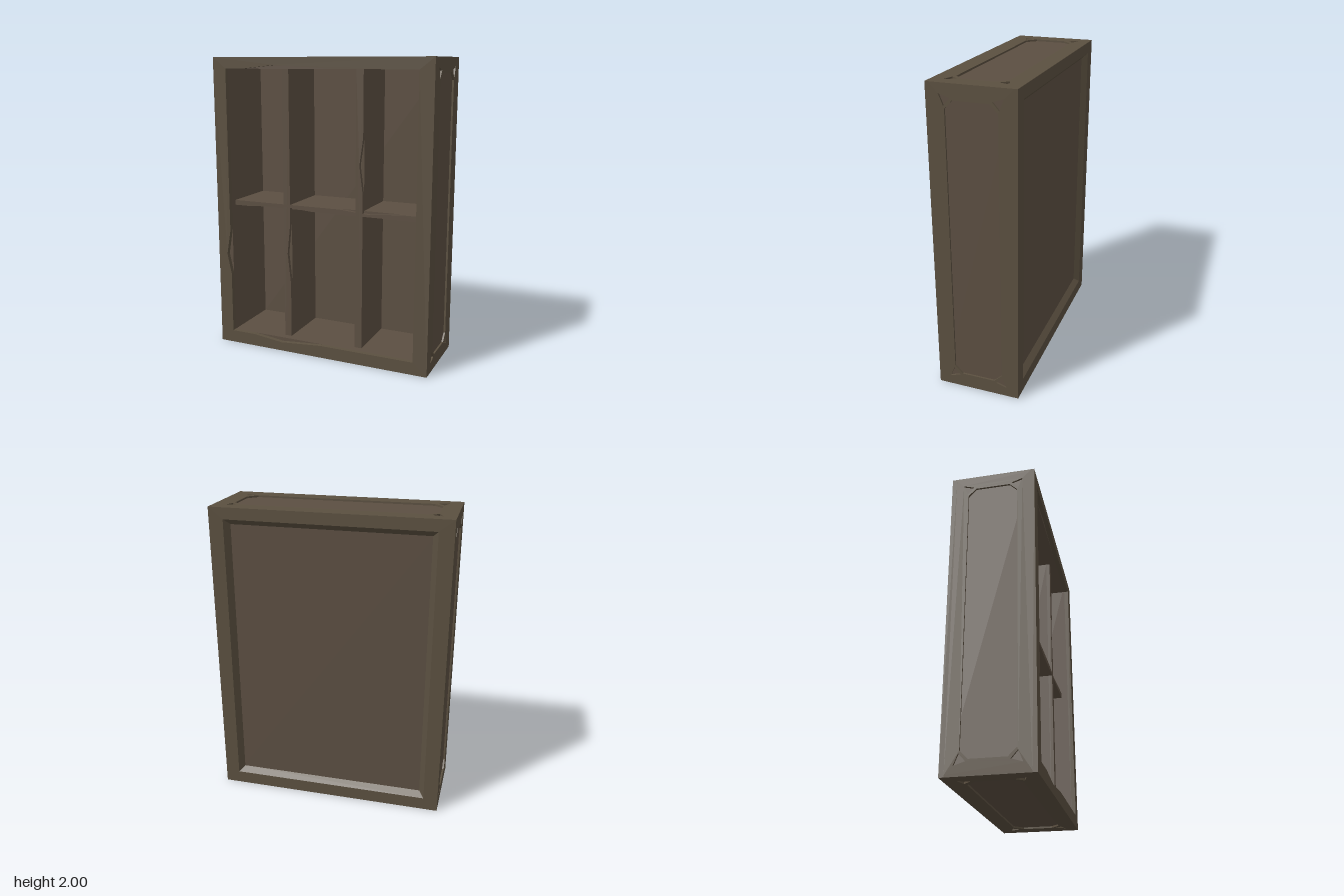
import * as THREE from 'three';

const W = 0.765, H = 2, D = 0.272;          // half width, height, half depth
const IX = 0.67, Y0 = 0.085, Y1 = 1.925;    // inner opening
const T = 0.012, LIP = 0.03;                // panel relief, front and back rim thickness
const FRONT = 0.195, BACK = -0.19;          // divider front, inner face of the back

export function createModel() {
  const root = new THREE.Group();
  root.name = 'bookcase';
  const frameWood = new THREE.MeshStandardMaterial({ color: 0x5b5040 });
  frameWood.name = 'frame wood';
  const panelWood = new THREE.MeshStandardMaterial({ color: 0x5c4f42 });
  panelWood.name = 'panel wood';

  const add = (name, geometry, material, parent = root) => {
    const mesh = new THREE.Mesh(geometry, material);
    mesh.name = name;
    parent.add(mesh);
    return mesh;
  };
  const box = (name, x0, x1, y0, y1, z0, z1, material = panelWood) => {
    const mesh = add(name, new THREE.BoxGeometry(x1 - x0, y1 - y0, z1 - z0), material);
    mesh.position.set((x0 + x1) / 2, (y0 + y1) / 2, (z0 + z1) / 2);
  };
  const points = (list) => list.map(([x, y]) => new THREE.Vector2(x, y));
  const extrude = (outline, holes, depth) => {
    const shape = new THREE.Shape(points(outline));
    holes.forEach((h) => shape.holes.push(new THREE.Path(points(h))));
    return new THREE.ExtrudeGeometry(shape, { depth, bevelEnabled: false });
  };
  const rect = (x0, x1, y0, y1) => [[x0, y0], [x1, y0], [x1, y1], [x0, y1]];

  // Carcass walls behind the relief plates
  const cz = D - LIP;
  for (const s of [-1, 1]) {
    const a = s * IX, b = s * (W - T);
    box('sideWall', Math.min(a, b), Math.max(a, b), T, H - T, -cz, cz);
  }
  box('bottomWall', -IX, IX, T, Y0, -cz, cz);
  box('topWall', -IX, IX, Y1, H - T, -cz, cz);
  box('backPanel', -IX, IX, Y0, Y1, -0.235, BACK);

  // Relief plate: a sunken panel with cut corners and a carved nick at each corner
  const reliefPlate = (name, hw, hh, pw, ph, c) => {
    const panel = [[-pw + c, -ph], [pw - c, -ph], [pw, -ph + c], [pw, ph - c],
      [pw - c, ph], [-pw + c, ph], [-pw, ph - c], [-pw, -ph + c]];
    const nicks = [];
    for (const sx of [-1, 1]) for (const sy of [-1, 1]) {
      nicks.push([[pw + 0.034, ph + 0.034], [pw - 0.035, ph + 0.012], [pw + 0.006, ph - 0.035]]
        .map(([x, y]) => [sx * x, sy * y]));
    }
    return add(name, extrude(rect(-hw, hw, -hh, hh), [panel, ...nicks], T), frameWood);
  };
  for (const s of [-1, 1]) {
    const side = reliefPlate(s > 0 ? 'leftSideFrame' : 'rightSideFrame', cz, H / 2 - T, 0.16, 0.905, 0.05);
    side.rotation.y = s * Math.PI / 2;
    side.position.set(s * (W - T), H / 2, 0);
    const cap = reliefPlate(s > 0 ? 'topFrame' : 'bottomFrame', W, cz, 0.65, 0.16, 0.06);
    cap.rotation.x = -s * Math.PI / 2;
    cap.position.y = s > 0 ? H - T : T;
  }

  // Front rim with chipped inner edges
  const opening = [[-IX, Y0], [-0.5, Y0], [-0.28, 0.06], [0.02, Y0], [IX, Y0], [IX, Y1],
    [0.13, Y1], [-0.3, 1.95], [-0.55, Y1], [-IX, Y1], [-IX, 0.82], [-0.7, 0.65], [-IX, 0.51]];
  add('frontRim', extrude(rect(-W, W, 0, H), [opening], LIP), frameWood).position.z = cz;

  // Back rim and the bevel running down to the sunken back panel
  add('backRim', extrude(rect(-W, W, 0, H), [rect(-IX, IX, Y0, Y1)], LIP), frameWood).position.z = -D;
  const outer = rect(-IX, IX, Y0, Y1);
  const inner = rect(-IX + 0.035, IX - 0.035, Y0 + 0.035, Y1 - 0.035);
  const verts = [];
  for (let i = 0; i < 4; i++) {
    const j = (i + 1) % 4;
    const a = [...outer[i], -D], b = [...outer[j], -D];
    const c = [...inner[j], -0.236], d = [...inner[i], -0.236];
    verts.push(...a, ...d, ...c, ...a, ...c, ...b);
  }
  const bevel = new THREE.BufferGeometry();
  bevel.setAttribute('position', new THREE.Float32BufferAttribute(verts, 3));
  bevel.computeVertexNormals();
  add('backBevel', bevel, frameWood);

  // Dividers and shelf: solid body with a chipped strip on the front edge
  const chip = 0.025;
  const body = (name, x0, x1, y0, y1, outline) => {
    box(name, x0, x1, y0, y1, BACK, FRONT - chip);
    add(name + 'Edge', extrude(outline, [], chip), panelWood).position.z = FRONT - chip;
  };
  body('rightDivider', -0.29, -0.24, Y0, Y1, [[-0.29, Y0], [-0.24, Y0], [-0.24, 0.47],
    [-0.263, 0.68], [-0.24, 0.9], [-0.24, Y1], [-0.29, Y1]]);
  body('leftDivider', 0.237, 0.287, Y0, Y1, [[0.237, Y0], [0.287, Y0], [0.287, 1.13],
    [0.262, 1.32], [0.287, 1.5], [0.287, Y1], [0.237, Y1]]);
  body('shelf', -IX, IX, 0.99, 1.024, [[-IX, 0.99], [-0.56, 0.99], [-0.3, 1.01], [-0.08, 0.99],
    [IX, 0.99], [IX, 1.024], [0.55, 1.024], [0.33, 1.006], [0.12, 1.024], [-IX, 1.024]]);

  return root;
}
